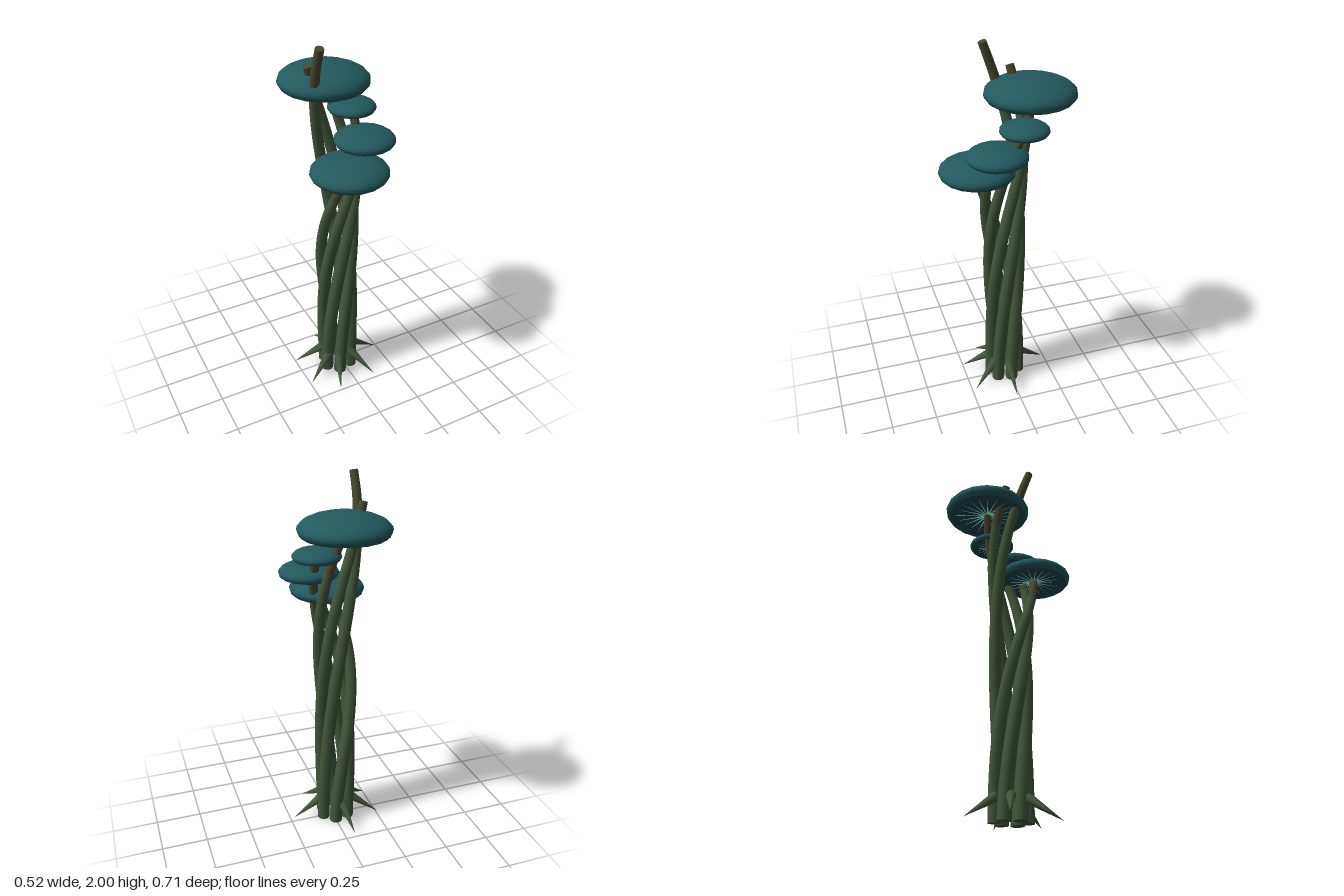
import * as THREE from 'three';

const mat = (name, color, side = THREE.FrontSide) => {
  const m = new THREE.MeshStandardMaterial({ color, side });
  m.name = name;
  return m;
};

// Centre of the stem bundle
const CX = -0.02, CZ = 0.015;
const TWIST = THREE.MathUtils.degToRad(195);
const SIDES = 10, RINGS = 40;

const stemRadius = (t) => 0.036 - 0.014 * t * t;

// Point on a stem: a helix that tightens and flares towards its end
function stemPoint(endAngle, height, t) {
  const a = endAngle - TWIST * (1 - Math.pow(t, 1.5));
  const r = 0.08 + 0.06 * Math.pow(t, 4);
  return new THREE.Vector3(CX + r * Math.sin(a), 0.004 + (height - 0.004) * t, CZ + r * Math.cos(a));
}

// Tapered twisting stem with closed ends; the last stretch is browner
function makeStem(endAngle, height, green, brown) {
  const g = new THREE.Group();
  g.name = 'stem';
  const pts = [];
  for (let i = 0; i <= 16; i++) pts.push(stemPoint(endAngle, height, i / 16));
  const path = new THREE.CatmullRomCurve3(pts);
  const geo = new THREE.TubeGeometry(path, RINGS, 1, SIDES);
  const pos = geo.attributes.position, v = new THREE.Vector3();
  for (let j = 0; j <= RINGS; j++) {
    const p = path.getPointAt(j / RINGS);
    for (let i = 0; i <= SIDES; i++) {
      const k = j * (SIDES + 1) + i;
      v.fromBufferAttribute(pos, k).sub(p).multiplyScalar(stemRadius(j / RINGS)).add(p);
      pos.setXYZ(k, v.x, v.y, v.z);
    }
  }
  const split = Math.round(RINGS * 0.88) * SIDES * 6;
  geo.addGroup(0, split, 0);
  geo.addGroup(split, RINGS * SIDES * 6 - split, 1);
  const tube = new THREE.Mesh(geo, [green, brown]);
  tube.name = 'stemTube';
  g.add(tube);
  for (const t of [0, 1]) {
    const end = new THREE.Mesh(new THREE.CircleGeometry(stemRadius(t), SIDES), t ? brown : green);
    const dir = path.getTangentAt(t).multiplyScalar(t ? 1 : -1);
    end.quaternion.setFromUnitVectors(new THREE.Vector3(0, 0, 1), dir);
    end.position.copy(path.getPointAt(t));
    end.name = 'stemEnd';
    g.add(end);
  }
  return g;
}

// Domed cap with a recessed underside and radiating gills
function makeCap(r, mats) {
  const g = new THREE.Group();
  g.name = 'mushroomCap';
  const profile = [];
  const low = -Math.asin(0.4);
  for (let i = 0; i <= 10; i++) {
    const a = low + (Math.PI / 2 - low) * i / 10;
    profile.push(new THREE.Vector2(Math.max(r * Math.cos(a), 0), 0.35 * r * Math.sin(a)));
  }
  const dome = new THREE.Mesh(new THREE.LatheGeometry(profile, 18), mats.cap);
  dome.name = 'capDome';
  const rim = profile[0];
  const under = new THREE.Mesh(new THREE.LatheGeometry([
    new THREE.Vector2(0, -0.09 * r),
    new THREE.Vector2(0.8 * r, -0.09 * r),
    rim.clone(),
  ], 18), mats.under);
  under.name = 'capUnderside';
  dome.rotation.y = under.rotation.y = Math.PI / 2;
  g.add(dome, under);
  const gillGeo = new THREE.ConeGeometry(0.02 * r, 0.72 * r, 4);
  gillGeo.rotateZ(-Math.PI / 2);
  gillGeo.translate(0.42 * r, -0.095 * r, 0);
  for (let i = 0; i < 20; i++) {
    const gill = new THREE.Mesh(gillGeo, mats.gill);
    gill.rotation.y = i * Math.PI / 10;
    gill.name = 'gill';
    g.add(gill);
  }
  return g;
}

export function createModel() {
  const model = new THREE.Group();
  model.name = 'twistedMushroomCluster';
  const green = mat('stem green', 0x43573c);
  const brown = mat('stem tip brown', 0x48492f);
  const mats = {
    cap: mat('cap teal', 0x23595e),
    under: mat('underside teal', 0x1b484d, THREE.DoubleSide),
    gill: mat('glowing gill', 0x86d8c6),
  };

  // Six stems, each taller than the last; the first four carry caps
  const capRadii = [0.202, 0.158, 0.126, 0.236];
  for (let i = 0; i < 6; i++) {
    const angle = i * Math.PI / 3, height = 1.36 + 0.127 * i;
    model.add(makeStem(angle, height, green, brown));
    if (i < capRadii.length) {
      const r = capRadii[i];
      const cap = makeCap(r, mats);
      cap.position.copy(stemPoint(angle, height, 1));
      cap.position.y += 0.14 * r - 0.018;
      model.add(cap);
    }
  }

  // Pointed roots splayed around the base
  for (const deg of [0, 58, 112, 152, 202, 262]) {
    const a = THREE.MathUtils.degToRad(deg);
    const at = (r, y) => new THREE.Vector3(CX + r * Math.cos(a), y, CZ + r * Math.sin(a));
    const from = at(0.085, 0.125), to = at(0.255, 0.015);
    const root = new THREE.Mesh(new THREE.ConeGeometry(0.027, from.distanceTo(to), 8), green);
    root.position.lerpVectors(from, to, 0.5);
    root.quaternion.setFromUnitVectors(new THREE.Vector3(0, 1, 0), to.clone().sub(from).normalize());
    root.name = 'rootSpike';
    model.add(root);
  }
  return model;
}
